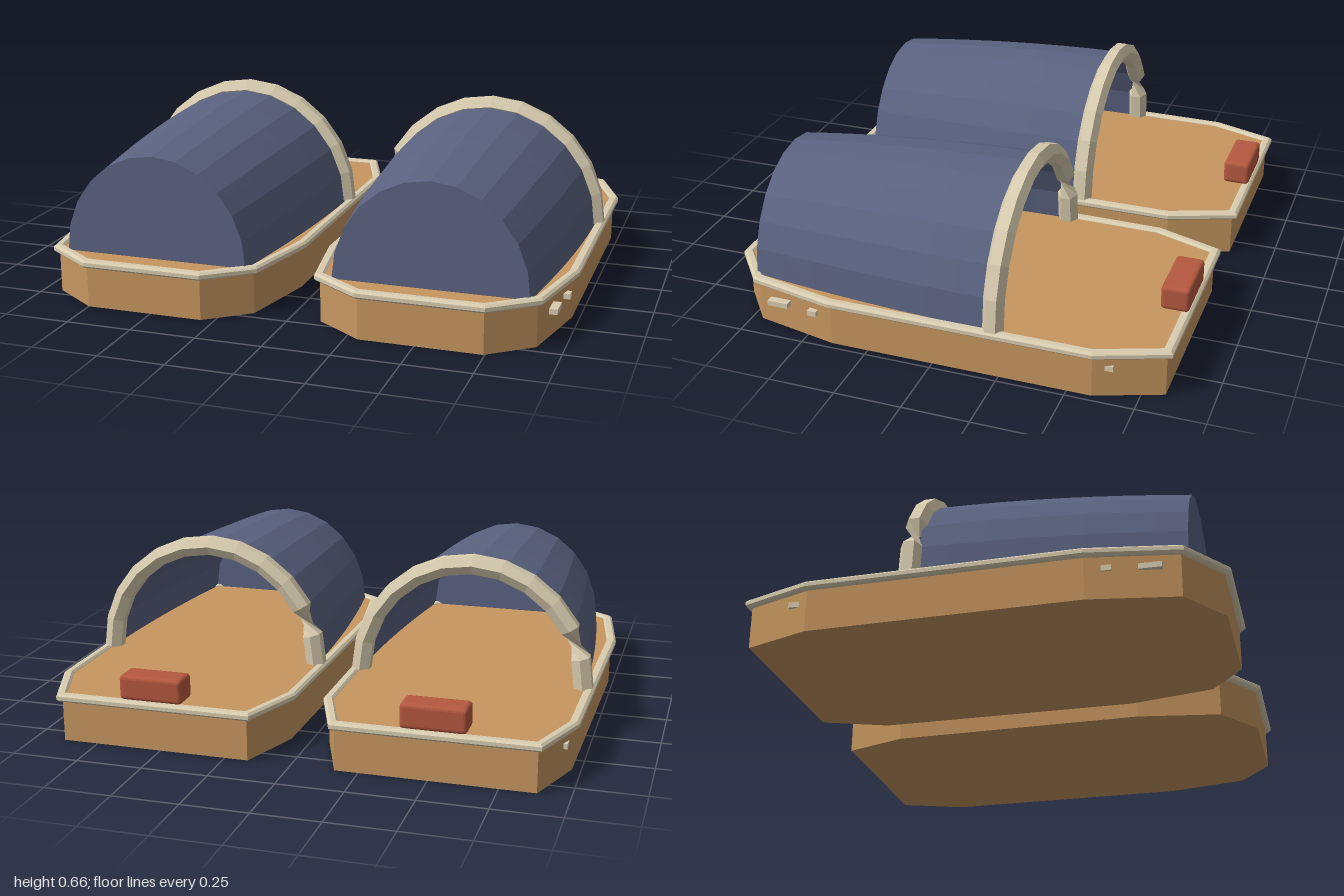
import * as THREE from 'three';
import { RoundedBoxGeometry } from 'three/addons/geometries/RoundedBoxGeometry.js';

const FLOOR = 0.175;
const paint = (color) => new THREE.MeshStandardMaterial({ color, flatShading: true, side: THREE.DoubleSide });

// Sole outline as [x, z], starting at the toe
const OUTLINE = [
  [-0.2275, 0.835], [0.2225, 0.835], [0.382, 0.71], [0.45, 0.39], [0.45, -0.59],
  [0.36, -0.83], [-0.36, -0.83], [-0.445, -0.59], [-0.46, 0.39], [-0.407, 0.71],
];

function addMesh(parent, name, geometry, material) {
  const mesh = new THREE.Mesh(geometry, material);
  mesh.name = name;
  parent.add(mesh);
  return mesh;
}

// Skin a list of cross-sections, each a list of [x, y, z]
function loft(rings, closedRing, closedPath) {
  const n = rings[0].length, m = rings.length, index = [];
  for (let i = 0; i < (closedPath ? m : m - 1); i++) {
    for (let j = 0; j < (closedRing ? n : n - 1); j++) {
      const k = (j + 1) % n, next = ((i + 1) % m) * n;
      const a = i * n + j, b = i * n + k, c = next + k, d = next + j;
      index.push(a, b, c, a, c, d);
    }
  }
  const geometry = new THREE.BufferGeometry();
  geometry.setAttribute('position', new THREE.Float32BufferAttribute(rings.flat(2), 3));
  geometry.setIndex(index);
  geometry.computeVertexNormals();
  return geometry;
}

function soleGeometry() {
  const shape = new THREE.Shape(OUTLINE.map(([x, z]) => new THREE.Vector2(x, -z)));
  return new THREE.ExtrudeGeometry(shape, { depth: FLOOR, bevelEnabled: false }).rotateX(-Math.PI / 2);
}

// Mitred bead that follows the sole edge: profile of [outward offset, height]
function rimGeometry() {
  const profile = [[0.021, 0.177], [0.021, 0.163], [0.012, 0.155], [-0.016, 0.155],
    [-0.016, 0.177], [-0.008, 0.185], [0.012, 0.185]];
  const count = OUTLINE.length;
  const normal = (i) => {
    const [x0, z0] = OUTLINE[i % count], [x1, z1] = OUTLINE[(i + 1) % count];
    return new THREE.Vector2(z0 - z1, x1 - x0).normalize();
  };
  const rings = OUTLINE.map(([x, z], i) => {
    const n0 = normal(i + count - 1), n1 = normal(i);
    const mitre = n0.clone().add(n1).divideScalar(1 + n0.dot(n1));
    return profile.map(([o, y]) => [x + mitre.x * o, y, z + mitre.y * o]);
  });
  return loft(rings, true, true);
}

// Arched hood section at t = 0 (opening) to 1 (toe)
function hoodRing(t) {
  const ease = Math.pow(t, 1.8);
  const rx = 0.432 - 0.074 * ease, ry = 0.447 - 0.056 * ease;
  return Array.from({ length: 13 }, (_, j) => {
    const a = (j / 12) * Math.PI;
    return [rx * Math.cos(a), FLOOR + ry * Math.sin(a), -0.2 + 0.93 * t];
  });
}

// Six-sided cuff around the opening, with a half twist near one foot
function cuffGeometry() {
  const rings = [];
  for (let i = 0; i <= 12; i++) {
    const a = (i / 12) * Math.PI;
    const twist = i >= 11 ? Math.PI : 0;
    rings.push(Array.from({ length: 6 }, (_, j) => {
      const b = Math.PI / 6 + (j * Math.PI) / 3 + twist, r = 0.04 * Math.cos(b);
      return [(0.43 + r) * Math.cos(a), 0.18 + (0.445 + r) * Math.sin(a), -0.225 - 0.04 * Math.sin(b)];
    }));
  }
  return loft(rings, true, false);
}

function createSlipper(outerSide) {
  const tan = paint(0xc6965f), cream = paint(0xd9cdb0), blue = paint(0x5a6280), red = paint(0xb5583f);
  const slipper = new THREE.Group();

  addMesh(slipper, 'sole', soleGeometry(), tan);
  addMesh(slipper, 'soleRim', rimGeometry(), cream);

  // Hood and its flat toe panel
  const rings = Array.from({ length: 9 }, (_, i) => hoodRing(i / 8));
  addMesh(slipper, 'hood', loft(rings, false, false), blue);
  const toe = new THREE.Shape(hoodRing(1).map(([x, y]) => new THREE.Vector2(x, y)));
  addMesh(slipper, 'toePanel', new THREE.ShapeGeometry(toe).translate(0, 0, 0.73), blue);
  addMesh(slipper, 'hoodCuff', cuffGeometry(), cream);

  // Heel block
  const heel = addMesh(slipper, 'heelBlock', new RoundedBoxGeometry(0.24, 0.093, 0.105, 2, 0.015), red);
  heel.position.set(0.004, 0.234, -0.792);

  // Small studs on the outer side: [x, z, length]
  for (const [x, z, length] of [[0.425, 0.61, 0.08], [0.44, 0.465, 0.035], [0.42, -0.64, 0.04]]) {
    const stud = addMesh(slipper, 'sideStud', new THREE.BoxGeometry(0.03, 0.02, length), cream);
    stud.position.set(outerSide * x, 0.112, z);
  }
  return slipper;
}

export function createModel() {
  const model = new THREE.Group();
  model.name = 'slippers';
  for (const side of [-1, 1]) {
    const slipper = createSlipper(side);
    slipper.name = side > 0 ? 'leftSlipper' : 'rightSlipper';
    slipper.position.x = side * 0.5225;
    model.add(slipper);
  }
  return model;
}
